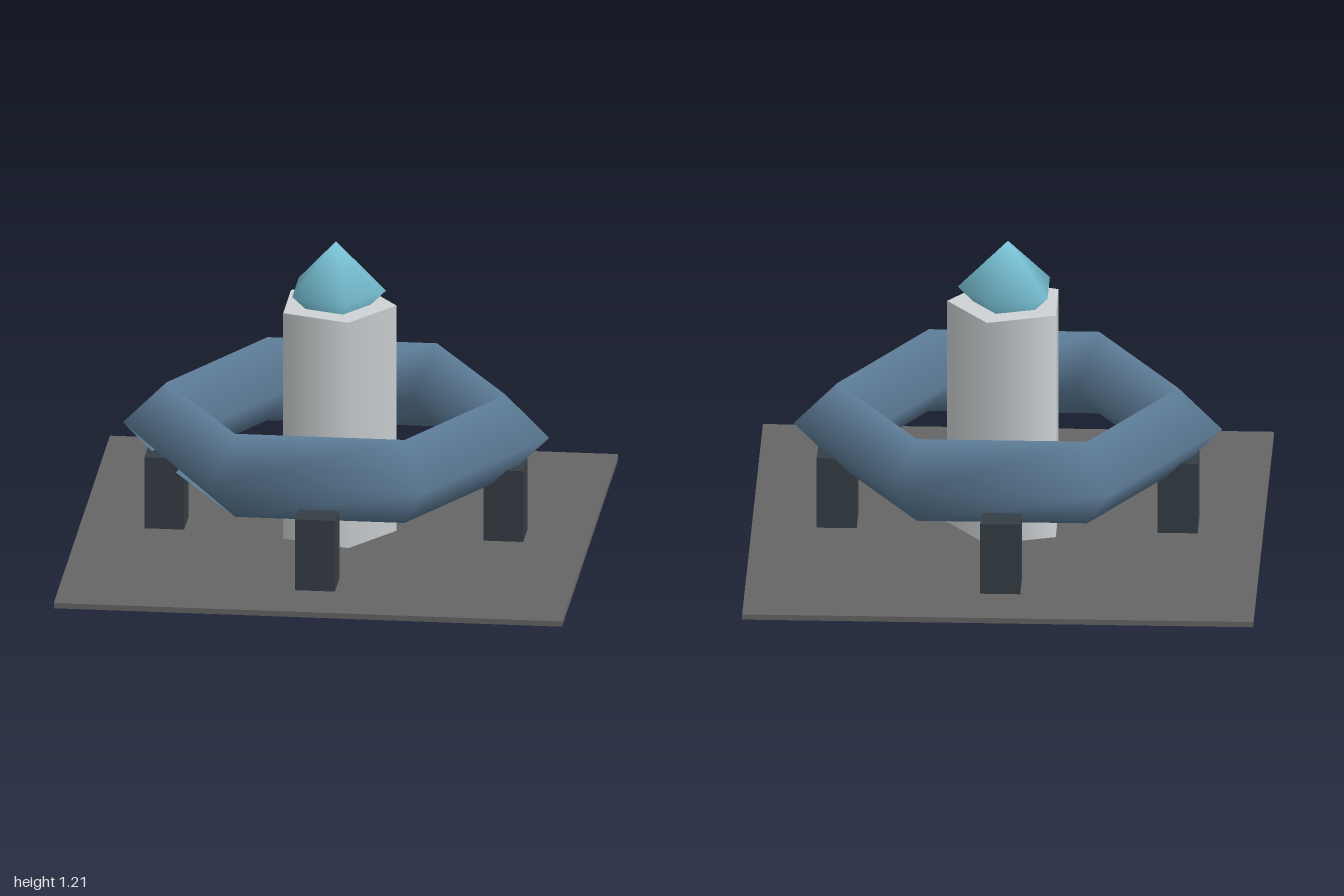
import * as THREE from 'three';

const paint = (name, color, side = THREE.FrontSide) => {
  const m = new THREE.MeshStandardMaterial({ color, side });
  m.name = name;
  return m;
};

export function createModel() {
  const model = new THREE.Group();
  model.name = 'ringMonument';

  const slate = paint('slate grey', 0x666666);
  const charcoal = paint('charcoal', 0x353e45);
  const steelBlue = paint('steel blue', 0x5f7f9b, THREE.DoubleSide);
  const paleGrey = paint('pale grey', 0xcfd3d5);
  const crystalBlue = paint('crystal blue', 0x7fcbe0);

  const add = (name, geometry, material, x, y, z) => {
    const mesh = new THREE.Mesh(geometry, material);
    mesh.name = name;
    mesh.position.set(x, y, z);
    model.add(mesh);
    return mesh;
  };

  // Thin square ground plate
  add('basePlate', new THREE.BoxGeometry(2, 0.022, 2), slate, 0, 0.011, 0);

  // Four square posts under the ring
  const postGeometry = new THREE.BoxGeometry(0.157, 0.293, 0.157);
  for (let i = 0; i < 4; i++) {
    const a = (i * Math.PI) / 2;
    add('supportPost', postGeometry, charcoal, 0.667 * Math.cos(a), 0.1685, 0.667 * Math.sin(a));
  }

  // Six-sided ring with a diamond section
  const ring = new THREE.TorusGeometry(0.667, 0.172, 4, 6);
  ring.rotateX(Math.PI / 2);
  // Opening: half of the front-right lower outer panel is left out
  const index = Array.from(ring.index.array);
  const [a, b, , , c] = index.slice(12, 18);
  index.splice(12, 6, a, b, c);
  ring.setIndex(index);
  add('ring', ring, steelBlue, 0, 0.43, 0);

  // Five-sided column, one corner towards +x
  add('column', new THREE.CylinderGeometry(0.238, 0.238, 0.933, 5, 1, false, Math.PI / 2),
    paleGrey, 0, 0.4885, 0);

  // Five-sided crystal, sunk into the column top
  add('crystal', new THREE.SphereGeometry(0.197, 5, 2, Math.PI), crystalBlue, 0, 1.015, 0);

  return model;
}
